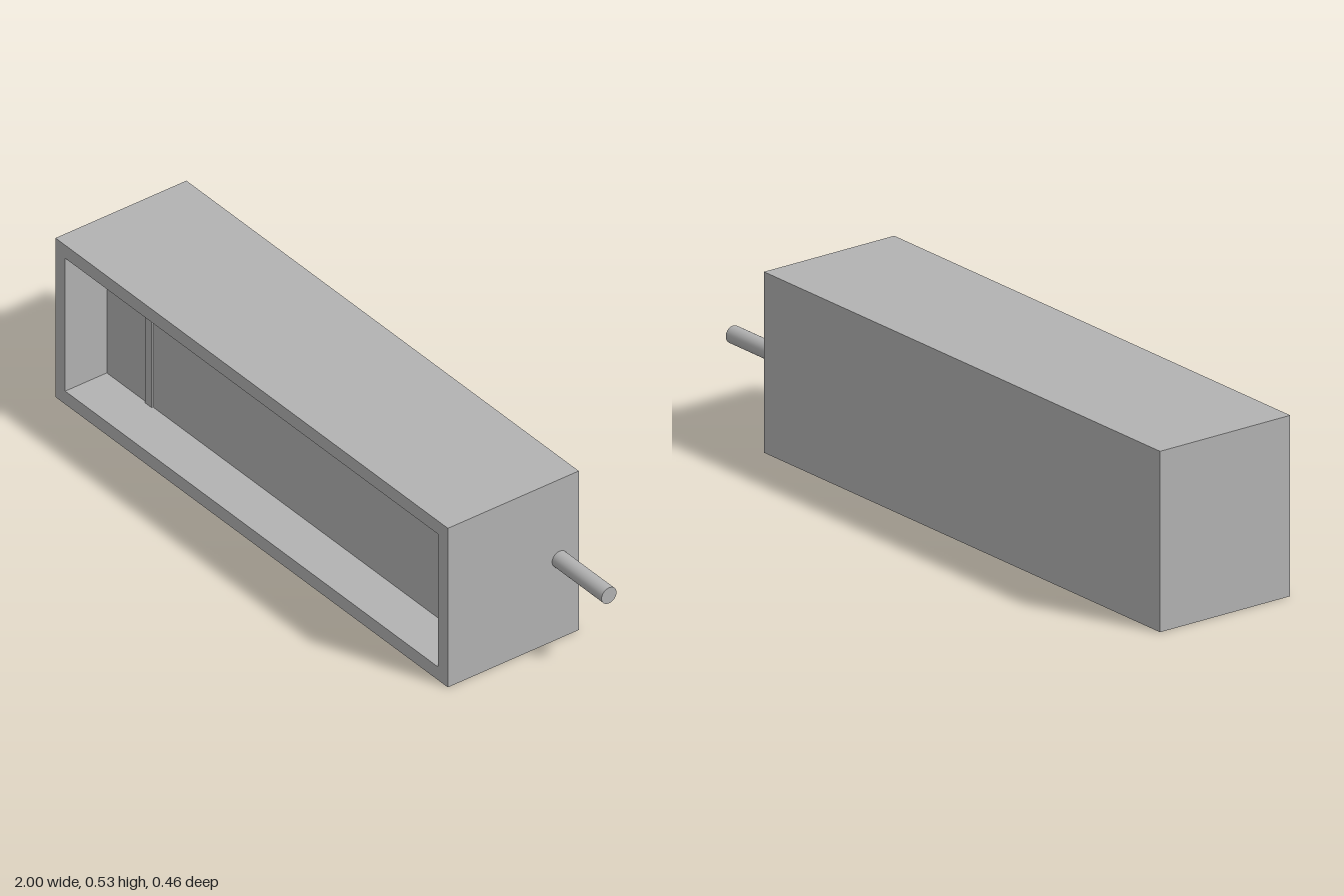
import * as THREE from 'three';

const X0 = -1, X1 = 0.776, H = 0.534, Z = 0.228;   // outer casing
const RIM = 0.044, PANEL_Z = 0.083;                // frame width, recessed panel plane

export function createModel() {
  const model = new THREE.Group();
  model.name = 'recessedBox';
  const grey = new THREE.MeshStandardMaterial({ color: 0xb2b2b2 });
  grey.name = 'grey';

  const add = (name, geometry, x, y, z) => {
    const mesh = new THREE.Mesh(geometry, grey);
    mesh.name = name;
    mesh.position.set(x, y, z);
    model.add(mesh);
    return mesh;
  };

  // Casing: outer rectangle with a window, extruded along the full depth
  const rect = (path, inset) => path
    .moveTo(X0 + inset, inset)
    .lineTo(X1 - inset, inset)
    .lineTo(X1 - inset, H - inset)
    .lineTo(X0 + inset, H - inset)
    .closePath();
  const outline = new THREE.Shape();
  rect(outline, 0);
  const opening = new THREE.Path();
  rect(opening, RIM);
  outline.holes.push(opening);
  add('casing', new THREE.ExtrudeGeometry(outline, { depth: 2 * Z, bevelEnabled: false }), 0, 0, -Z);

  // Solid core: its front is the recessed panel, its back closes the casing
  const cx = (X0 + X1) / 2, innerH = H - 2 * RIM;
  add('recessedPanel', new THREE.BoxGeometry(X1 - X0 - 2 * RIM, innerH, PANEL_Z + Z),
    cx, H / 2, (PANEL_Z - Z) / 2);

  // Narrow upright strip on the panel
  add('panelStrip', new THREE.BoxGeometry(0.03, innerH, 0.006), -0.762, H / 2, PANEL_Z + 0.002);

  // Rod sticking out of the left side, near the back
  const rod = add('sideRod', new THREE.CylinderGeometry(0.026, 0.026, 1 - X1, 32),
    (1 + X1) / 2, H / 2, -0.161);
  rod.rotation.z = -Math.PI / 2;

  return model;
}
